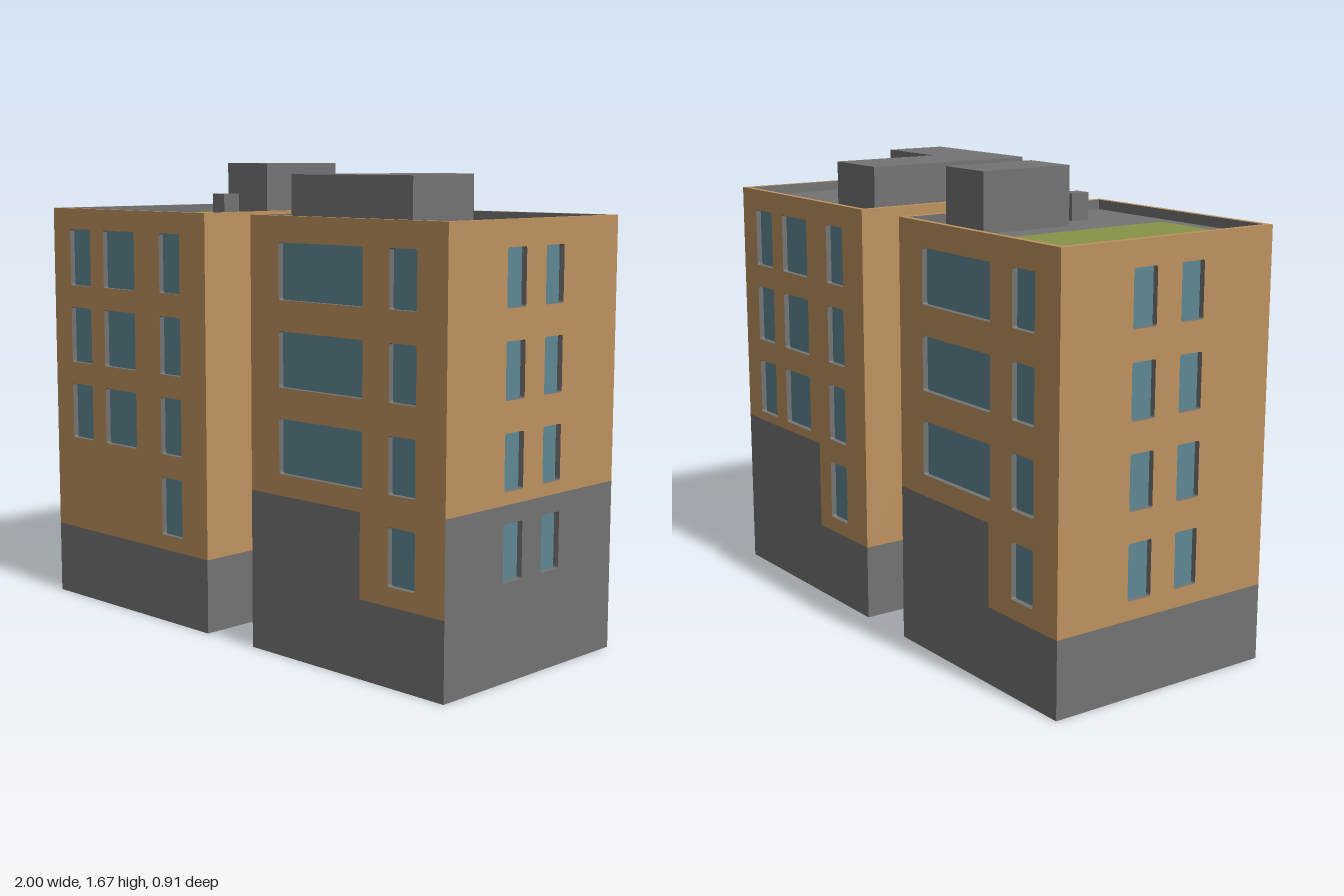
import * as THREE from 'three';

const mat = (name, color) => {
  const m = new THREE.MeshStandardMaterial({ color, side: THREE.DoubleSide });
  m.name = name;
  return m;
};
const HALF = 0.4385, TOP = 1.505, ROOF = 1.47, RIM = 0.022, RECESS = 0.02;
const TILT = 0.0155, BASE = 0.27;

// Window columns [left, right] and rows [bottom, top], seen from outside
const ROWS = [[0.335, 0.53], [0.635, 0.825], [0.93, 1.12], [1.225, 1.417]];
const TALL_ROWS = [[0.325, 0.54], [0.625, 0.835], [0.918, 1.13], [1.213, 1.427]];
const grid = (rows, cols) =>
  cols.flatMap(([a, b, first]) => rows.slice(first).map(([lo, hi]) => [a, b, lo, hi]));
const WIDE = grid(ROWS, [[-0.3015, 0.0835, 1], [0.1985, 0.3135, 0]]);
const TRIPLE = grid(TALL_ROWS, [[-0.3375, -0.2145, 1], [-0.135, 0.0475, 1], [0.1895, 0.3025, 0]]);
const SIDE = grid(ROWS, [[-0.152, -0.055, 0], [0.047, 0.142, 0]]);

export function createModel() {
  const orange = mat('ochre wall', 0xbe925f);
  const grey = mat('grey', 0x737373);
  const glass = mat('window glass', 0x5f8793);
  const green = mat('roof lawn', 0x879448);

  const add = (parent, name, geometry, material) => {
    const mesh = new THREE.Mesh(geometry, material);
    mesh.name = name;
    parent.add(mesh);
    return mesh;
  };
  const group = (parent, name) => {
    const g = new THREE.Group();
    g.name = name;
    parent.add(g);
    return g;
  };
  const poly = (pts) => new THREE.Shape(pts.map(([x, y]) => new THREE.Vector2(x, y)));
  const rect = (a, b, lo, hi) => poly([[a, lo], [b, lo], [b, hi], [a, hi]]);

  // Rectangle with slightly rounded corners
  const softRect = (a, b, lo, hi, r = 0.008) => {
    const s = new THREE.Shape();
    s.moveTo(a + r, lo).lineTo(b - r, lo).quadraticCurveTo(b, lo, b, lo + r);
    s.lineTo(b, hi - r).quadraticCurveTo(b, hi, b - r, hi);
    s.lineTo(a + r, hi).quadraticCurveTo(a, hi, a, hi - r);
    s.lineTo(a, lo + r).quadraticCurveTo(a, lo, a + r, lo);
    return s;
  };

  // Band of quads running from an outline at z = 0 back to z = -depth, facing inward
  const band = (pts, depth, closed = true) => {
    const out = [];
    for (let i = 0; i < pts.length - (closed ? 0 : 1); i++) {
      const p = pts[i], q = pts[(i + 1) % pts.length];
      out.push(p.x, p.y, 0, q.x, q.y, 0, q.x, q.y, -depth);
      out.push(p.x, p.y, 0, q.x, q.y, -depth, p.x, p.y, -depth);
    }
    const g = new THREE.BufferGeometry();
    g.setAttribute('position', new THREE.Float32BufferAttribute(out, 3));
    g.computeVertexNormals();
    return g;
  };

  // Facade: grey plinth stepping from hl to hr at u = step, ochre above, recessed windows
  const facade = (parent, name, angle, windows, hl, hr, step = 0) => {
    const wall = group(parent, name);
    wall.rotation.y = angle;
    wall.position.set(Math.sin(angle) * HALF, 0, Math.cos(angle) * HALF);
    const line = [[-HALF, hl], [step, hl], [step, hr], [HALF, hr]];
    const flat = hl === hr ? [line[0], line[3]] : line;
    const upper = poly([...flat, [HALF, TOP], [-HALF, TOP]]);
    const lower = poly([[-HALF, 0], [HALF, 0], ...[...flat].reverse()]);
    for (const w of windows) {
      const [a, b, lo, hi] = w;
      const hole = softRect(a, b, lo, hi);
      const plinth = (a + b) / 2 < step ? hl : hr;
      (hi < plinth ? lower : upper).holes.push(hole);
      add(wall, 'windowReveal', band(hole.getPoints(3).slice(0, -1), RECESS), grey);
      add(wall, 'windowPane', new THREE.ShapeGeometry(hole, 3), glass).position.z = -RECESS;
    }
    add(wall, 'upperWall', new THREE.ShapeGeometry(upper, 3), orange);
    add(wall, 'plinth', new THREE.ShapeGeometry(lower, 3), grey);
  };

  // Parapet rim and sunken flat roof
  const roof = (parent) => {
    const r = HALF - RIM;
    const top = group(parent, 'roof');
    top.rotation.x = -Math.PI / 2;
    top.position.y = TOP;
    const rim = rect(-HALF, HALF, -HALF, HALF);
    const inner = rect(-r, r, -r, r);
    rim.holes.push(inner);
    add(top, 'parapetRim', new THREE.ShapeGeometry(rim), orange);
    add(top, 'parapetInside', band(inner.getPoints(), TOP - ROOF), grey);
    add(top, 'roofDeck', new THREE.ShapeGeometry(inner), grey).position.z = ROOF - TOP;
  };
  const roofBox = (parent, name, x, z, w, d, top, material) => {
    const h = top - ROOF;
    add(parent, name, new THREE.BoxGeometry(w, h, d), material).position.set(x, ROOF + h / 2, z);
  };

  const model = new THREE.Group();
  model.name = 'apartmentBlocks';
  const site = (name, x, z) => {
    const g = group(model, name);
    g.position.set(x, 0, z);
    g.rotation.y = TILT;
    roof(g);
    return g;
  };
  const Q = Math.PI / 2;

  // Left-hand block (model's left, +x)
  const east = site('leftBlock', 0.5545, -0.0105);
  facade(east, 'frontWall', 0, WIDE, 0.56, BASE, 0.075);
  facade(east, 'outerWall', Q, SIDE, 0.592, 0.592);
  facade(east, 'backWall', 2 * Q, TRIPLE, 0.592, BASE, 0.11);
  facade(east, 'innerWall', -Q, [], BASE, 0.56);
  const ell = poly([[-0.354, 0.332], [-0.354, -0.3265], [0.1945, -0.3265],
    [0.1945, -0.089], [-0.103, -0.089], [-0.103, 0.332]]);
  const house = add(east, 'roofHouse',
    new THREE.ExtrudeGeometry(ell, { depth: 1.64 - ROOF, bevelEnabled: false }), grey);
  house.rotation.x = -Q;
  house.position.y = ROOF;

  // Right-hand block (-x): same walls turned half round, with a lower plinth
  const west = site('rightBlock', -0.5545, 0.0105);
  facade(west, 'frontWall', 0, TRIPLE, BASE, BASE);
  facade(west, 'outerWall', -Q, SIDE, BASE, BASE);
  facade(west, 'backWall', 2 * Q, WIDE, 0.56, BASE, 0.075);
  facade(west, 'innerWall', Q, [], BASE, 0.56);
  roofBox(west, 'stairHouse', 0.23, -0.137, 0.213, 0.358, 1.675, grey);
  roofBox(west, 'vent', 0.246, 0.164, 0.062, 0.073, 1.565, grey);
  roofBox(west, 'roofLawn', -0.19, -0.008, 0.355, 0.692, ROOF + 0.006, green);

  // Link between the blocks, open at the ends and underneath
  const link = group(model, 'link');
  link.rotation.y = TILT;
  const profile = [[-0.214, 0], [-0.214, 1.26], [0.214, 1.26], [0.214, 0]]
    .map(([x, y]) => new THREE.Vector2(x, y));
  const shell = add(link, 'linkShell', band(profile, 0.236, false), grey);
  shell.rotation.y = Q;
  shell.position.x = 0.118;
  return model;
}
